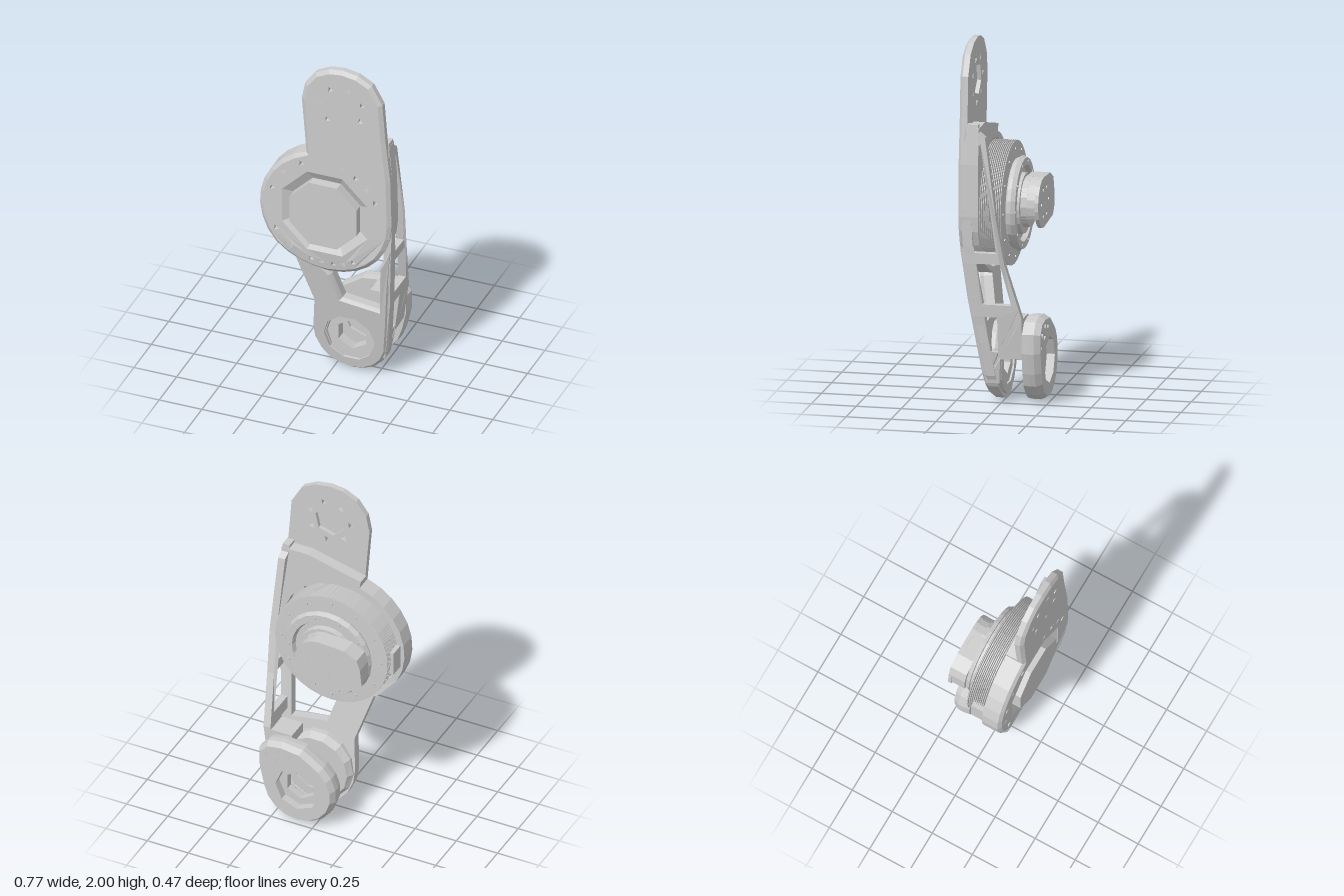
import * as THREE from 'three';

const mat = new THREE.MeshStandardMaterial({ color: 0xcccccc, flatShading: true, side: THREE.DoubleSide });
const lerp = THREE.MathUtils.lerp;

// regular polygon as [x, y] points
const ngon = (cx, cy, r, n, rot = 0) => Array.from({ length: n }, (_, i) => {
  const a = rot + (i / n) * Math.PI * 2;
  return [cx + r * Math.cos(a), cy + r * Math.sin(a)];
});
const arc = (cx, cy, r, a0, a1, n) => Array.from({ length: n + 1 }, (_, i) => {
  const a = lerp(a0, a1, i / n) * Math.PI / 180;
  return [cx + r * Math.cos(a), cy + r * Math.sin(a)];
});
// ring of small triangular bolt holes
const bolts = (cx, cy, r, n, a0, a1) => arc(cx, cy, r, a0, a1, n - 1).map(([x, y], i) => ngon(x, y, 0.02, 3, i));
// piecewise linear lookup
const lookup = (table, v) => {
  for (let i = 1; i < table.length; i++) {
    const [a, p] = table[i - 1], [b, q] = table[i];
    if (v <= b) return lerp(p, q, Math.max(0, (v - a) / (b - a)));
  }
  return table[table.length - 1][1];
};
const key = (x, y) => `${x.toFixed(4)},${y.toFixed(4)}`;
// inward direction at each corner of a counter-clockwise outline
const inwardMap = (pts) => new Map(pts.map(([x, y], i) => {
  const [ax, ay] = pts.at(i - 1), [bx, by] = pts[(i + 1) % pts.length];
  const l1 = Math.hypot(x - ax, y - ay), l2 = Math.hypot(bx - x, by - y);
  const nx = -(y - ay) / l1 - (by - y) / l2, ny = (x - ax) / l1 + (bx - x) / l2;
  const l = Math.hypot(nx, ny);
  return [key(x, y), [nx / l, ny / l]];
}));

export function createModel() {
  const group = new THREE.Group();
  const add = (name, geo) => {
    geo.computeVertexNormals();
    const mesh = new THREE.Mesh(geo, mat);
    mesh.name = name;
    group.add(mesh);
  };
  // extrude an outline over t = 0..1, chamfer the outer edge at [back, front],
  // then place each vertex by a rule
  const slab = (name, pts, holes, chamfer, place) => {
    const v = (p) => p.map(([x, y]) => new THREE.Vector2(x, y));
    const shape = new THREE.Shape(v(pts));
    holes.forEach((h) => shape.holes.push(new THREE.Path(v(h))));
    const geo = new THREE.ExtrudeGeometry(shape, { depth: 1, bevelEnabled: false, steps: 3 });
    const inward = inwardMap(pts);
    const p = geo.attributes.position;
    for (let i = 0; i < p.count; i++) {
      const x = p.getX(i), y = p.getY(i), t = p.getZ(i);
      const size = t < 0.01 ? chamfer[0] : t > 0.99 ? chamfer[1] : 0;
      const [dx, dy] = inward.get(key(x, y)) ?? [0, 0];
      p.setXYZ(i, ...place(x + dx * size, y + dy * size, t));
    }
    add(name, geo);
  };
  const plain = [0, 0];
  const between = (back, front) => (x, y, t) => [x, y, lerp(back, front, t)];
  // solid of revolution about the z axis, profile as [radius, z]
  const turned = (name, profile, cx, cy, n, rot = 0) => {
    const geo = new THREE.LatheGeometry(profile.map(([r, z]) => new THREE.Vector2(r, z)), n);
    geo.rotateX(Math.PI / 2).rotateZ(rot).translate(cx, cy, 0);
    add(name, geo);
  };

  const CY = 1.06;            // motor axis height
  const LX = 0.1, LY = 0.22;  // lower joint axis
  const bulge = arc(0, CY, 0.385, 107, 360, 20);
  // the lower part of the housing leans back with the link
  const lean = (y) => Math.max(0, 0.83 - y) / 6;
  const leaning = (back, front) => (x, y, t) => [x, y, lerp(back, front, t) - lean(y)];

  // front cover plate with upper mounting pad
  const pad = [[0.378, 1.35], [0.35, 1.6], [0.332, 1.83], [0.27, 1.94], [0.19, 1.985], [0.1, 2],
    [0.02, 1.99], [-0.06, 1.95], [-0.12, 1.87], [-0.14, 1.77]];
  slab('frontPlate', [...bulge, ...pad],
    [ngon(0, CY, 0.27, 8, Math.PI / 8), ...bolts(0, CY, 0.325, 6, 115, 232),
      ...bolts(0, CY, 0.325, 5, 255, 300), ...bolts(0, CY, 0.325, 4, 25, 72),
      ngon(0.1, 1.765, 0.092, 6, 0.3), ...bolts(0.1, 1.765, 0.124, 7, 20, 330)], [0, 0.022], leaning(0.165, 0.213));

  // floor of the hexagonal socket that opens to the back of the pad
  slab('padSocketFloor', ngon(0.1, 1.765, 0.0925, 6, 0.3), [], plain, between(0.188, 0.213));

  // housing rim around the motor, ending in a ledge under the pad
  slab('housingRim', [...bulge, [0.378, 1.35], [0.36, 1.55], [0.2, 1.55], [-0.12, 1.47]],
    [arc(0, CY, 0.352, 0, 345, 23)], plain, leaning(0.1, 0.167));

  // centre cap with sloping recess
  turned('capRecess', [[0.27, 0.212], [0.215, 0.182], [0, 0.182]], 0, CY, 8, Math.PI / 8);
  slab('centreCap', ngon(0, CY, 0.212, 8, Math.PI / 8), [], plain, between(0.1, 0.235));

  // lower fork of the link, leaning back towards the joint
  const front = (y) => lerp(0.07, 0.2, Math.min(1, Math.max(0, (y - 0.02) / 0.78)));
  const linkFoot = arc(LX, LY, 0.22, 175, 345, 9);
  slab('lowerLink', [[-0.3, 0.86], [-0.21, 0.77], [-0.1, 0.43], ...linkFoot, [0.335, 0.35], [0.36, 0.6],
    [0.38, 0.9], [0.31, 0.78], [0.285, 0.46], [0.07, 0.49], [0.02, 0.65], [-0.06, 0.74]],
  [ngon(LX, LY, 0.15, 10)], [0, 0.018],
  (x, y, t) => [x, y, front(y) - lerp(0.075, 0, t)]);

  // joint ring and its hexagonal seat
  slab('jointRing', ngon(LX, LY, 0.214, 14), [ngon(LX, LY, 0.145, 10)], [0.022, 0],
    (x, y, t) => [x, y, lerp(-0.01, front(y) - 0.02, t)]);
  slab('jointSeat', ngon(LX, LY, 0.15, 10), [ngon(LX, LY, 0.092, 6, Math.PI / 6)], plain, between(0.0, 0.06));

  // side wall with three windows; drawn as [-z, y] and turned to face +x
  const outerX = (y) => lookup([[0.1, 0.295], [0.25, 0.322], [0.5, 0.352], [0.8, 0.375], [1.1, 0.385], [1.35, 0.378], [1.57, 0.357]], y);
  const flip = (pts) => pts.map(([z, y]) => [-z, y]);
  slab('sideWall', flip([[0.17, 1.57], [0.105, 1.57], [0.105, 1.53], [0.065, 1.5], [0, 1.05], [-0.045, 0.8],
    [-0.12, 0.55], [-0.135, 0.5], [-0.135, 0.27], [-0.01, 0.26], [0, 0.12], [0.075, 0.12], [0.14, 0.5],
    [0.185, 0.8], [0.19, 1.1], [0.18, 1.5]]),
  [flip([[0.13, 1.46], [0.09, 1.46], [0.03, 1.05], [0, 0.86], [0.13, 0.86], [0.135, 1.05]]),
    flip([[0.12, 0.8], [-0.02, 0.8], [-0.08, 0.57], [0.09, 0.57]]),
    flip([[0.075, 0.5], [0.0, 0.5], [0.0, 0.3], [0.04, 0.3]])], plain,
  (x, y, t) => [outerX(y) - lerp(0.042, 0, t), y, -x]);

  // bridge carrying the rear clevis plate
  slab('clevisBridge', [[0.18, 0.43], [0.29, 0.27], [0.325, 0.27], [0.348, 0.49], [0.18, 0.49]], [], plain, between(-0.135, 0.0));

  // rear clevis plate
  slab('clevisPlate', [...arc(LX, LY, 0.22, 130, 350, 11), [0.343, 0.3], [0.343, 0.41], [0.29, 0.47], [0.2, 0.485], [0.08, 0.47]],
    [ngon(LX, LY, 0.13, 8), ngon(0.14, 0.42, 0.02, 4), ngon(0.21, 0.435, 0.02, 4), ngon(0.28, 0.4, 0.02, 4),
      ngon(0.3, 0.33, 0.02, 4), ngon(0.22, 0.375, 0.02, 4)], [0.02, 0.006], between(-0.235, -0.132));
  slab('clevisSeat', ngon(LX, LY, 0.14, 8), [ngon(LX, LY, 0.09, 6, Math.PI / 6)], plain, between(-0.19, -0.15));

  // finned motor body
  const fins = [[0, 0.12], [0.32, 0.12]];
  for (let i = 0; i < 12; i++) {
    const z = 0.1 - i * 0.0105;
    fins.push([0.318, z + 0.004], [0.342, z + 0.003], [0.342, z - 0.001], [0.318, z - 0.003]);
  }
  fins.push([0.335, -0.02], [0.25, -0.022], [0, -0.022]);
  turned('motorFins', fins, 0, CY, 32);
  turned('motorFlange', [[0.24, -0.015], [0.25, -0.03], [0.25, -0.05], [0.262, -0.052], [0.25, -0.076], [0.21, -0.076],
    [0.2, -0.05], [0.17, -0.05], [0.165, -0.08], [0, -0.08]], 0, CY, 24);
  for (const [x, y] of ngon(0, CY, 0.3, 12)) slab('motorBolt', ngon(x, y, 0.01, 5), [], plain, between(-0.026, -0.01));
  for (const [x, y] of ngon(0, CY, 0.23, 10)) slab('flangeBolt', ngon(x, y, 0.01, 5), [], plain, between(-0.08, -0.06));
  slab('motorLeadTab', [[-0.36, 0.98], [-0.32, 0.98], [-0.32, 1.12], [-0.36, 1.12]], [], plain, between(0.02, 0.11));

  // rear connector hub: base disc, body above the cable channel, outer cover
  const HY = 1.07;
  const coverEdge = [...arc(0, HY, 0.14, -90, 90, 9), [-0.16, 1.2], [-0.235, 1.16], [-0.255, 1.1], [-0.265, 1.0], [-0.225, 0.95]];
  slab('hubBase', ngon(0, HY, 0.14, 16), [], plain, between(-0.115, -0.07));
  slab('hubBody', [[0.12, 1.0], ...arc(0, HY, 0.138, -20, 90, 6), [-0.16, 1.2], [-0.235, 1.16], [-0.255, 1.1], [-0.255, 1.0]],
    [], plain, between(-0.165, -0.08));
  slab('hubCover', coverEdge, ngon(-0.03, HY, 0.085, 6).map(([x, y]) => ngon(x, y, 0.015, 4)), plain, between(-0.18, -0.16));

  return group;
}
